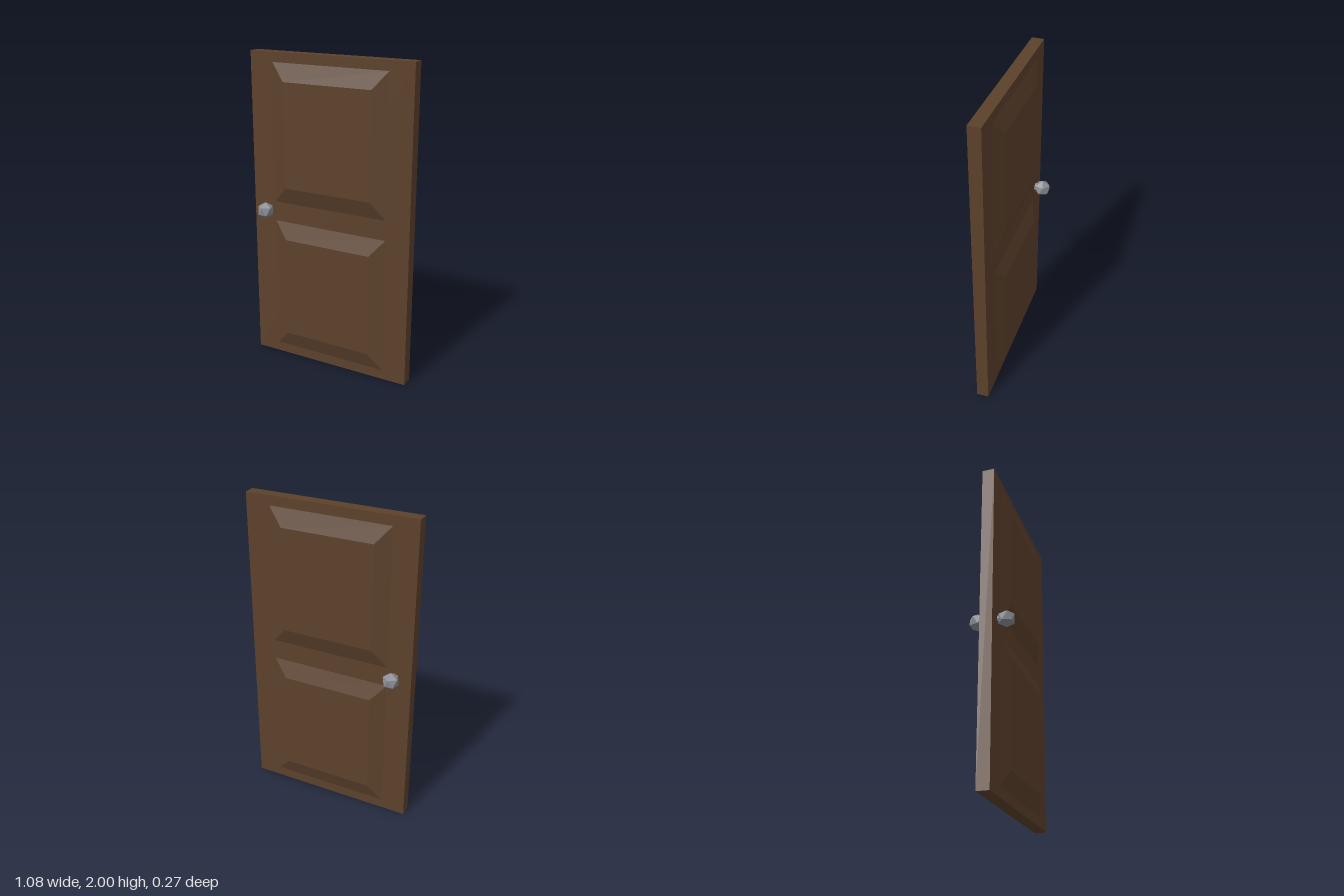
import * as THREE from 'three';

const wood = new THREE.MeshStandardMaterial({ color: 0x5c412b, flatShading: true });
const metal = new THREE.MeshStandardMaterial({ color: 0x8a8e94, flatShading: true });
const HALF = 0.038; // half the slab thickness

function part(name, geometry, material, x, y, z) {
  const mesh = new THREE.Mesh(geometry, material);
  mesh.name = name;
  mesh.position.set(x, y, z);
  return mesh;
}

// Raised panel: a box whose outer face is pulled in to form bevels
function panelGeometry(width, height, depth, insetX, insetY) {
  const g = new THREE.BoxGeometry(width, height, depth);
  const p = g.attributes.position;
  for (let i = 0; i < p.count; i++) {
    if (p.getZ(i) > 0) {
      p.setX(i, p.getX(i) - Math.sign(p.getX(i)) * insetX);
      p.setY(i, p.getY(i) - Math.sign(p.getY(i)) * insetY);
    }
  }
  g.translate(0, 0, depth / 2);
  g.computeVertexNormals();
  return g;
}

// Faceted knob with one corner pointing straight up
function knobGeometry() {
  const g = new THREE.IcosahedronGeometry(0.054, 0);
  g.rotateZ(Math.atan(2 / (1 + Math.sqrt(5))));
  g.rotateY(Math.PI / 2);
  return g;
}

export function createModel() {
  const door = new THREE.Group();
  door.name = 'door';
  door.add(part('slab', new THREE.BoxGeometry(1.08, 2, HALF * 2), wood, 0, 1, 0));

  const panel = panelGeometry(0.77, 0.875, 0.036, 0.093, 0.108);
  const knob = knobGeometry();
  const stem = new THREE.CylinderGeometry(0.025, 0.025, 0.04, 8).rotateX(Math.PI / 2);

  // Both faces carry the same panels, with the knobs back to back
  for (const [side, s] of [['front', 1], ['back', -1]]) {
    const face = new THREE.Group();
    face.name = side + 'Face';
    face.rotation.y = s > 0 ? 0 : Math.PI;
    face.add(
      part('upperPanel', panel, wood, 0, 1.502, HALF),
      part('lowerPanel', panel, wood, 0, 0.5, HALF),
      part('knobStem', stem, metal, -0.431 * s, 1.012, HALF + 0.015),
      part('knob', knob, metal, -0.431 * s, 1.012, 0.087)
    );
    door.add(face);
  }
  return door;
}
